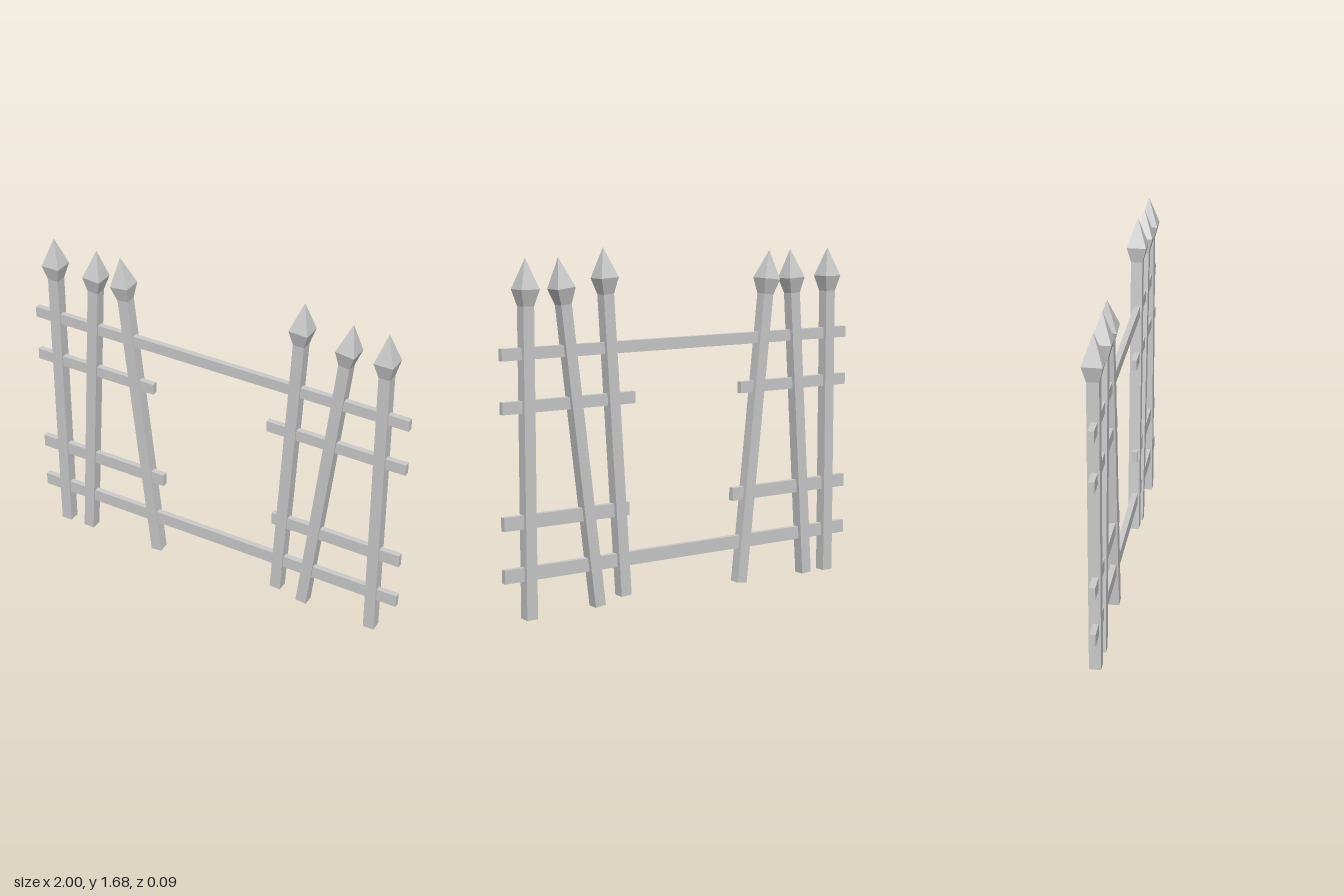
import * as THREE from 'three';

const material = new THREE.MeshStandardMaterial({ color: 0xcccccc, flatShading: true });

const LENGTH = 1.645; // foot to tip of a picket
const SHAFT = 1.43;   // height of the square shaft
const WIDEST = 1.505; // height of the spearhead's widest ring

// Four-sided frustum with half widths at bottom and top, between heights y0 and y1
function squareFrustum(bottom, top, y0, y1) {
  const g = new THREE.CylinderGeometry(top * Math.SQRT2, bottom * Math.SQRT2, y1 - y0, 4, 1, true);
  g.rotateY(Math.PI / 4);
  g.translate(0, (y0 + y1) / 2, 0);
  return g;
}

// Picket standing on its foot, leaning towards its tip
function makePicket(footX, footY, tipX) {
  const picket = new THREE.Group();
  picket.name = 'picket';
  const shaftGeometry = new THREE.BoxGeometry(0.056, SHAFT, 0.056);
  shaftGeometry.translate(0, SHAFT / 2, 0);
  const parts = {
    picketShaft: shaftGeometry,
    spearheadBase: squareFrustum(0.028, 0.047, SHAFT, WIDEST),
    spearheadPoint: squareFrustum(0.047, 0, WIDEST, LENGTH),
  };
  for (const [name, geometry] of Object.entries(parts)) {
    const mesh = new THREE.Mesh(geometry, material);
    mesh.name = name;
    picket.add(mesh);
  }
  picket.position.set(footX, footY, 0);
  picket.rotation.z = -Math.asin((tipX - footX) / LENGTH);
  return picket;
}

// Horizontal rail from x0 to x1
function makeRail(name, x0, x1, y, height) {
  const rail = new THREE.Mesh(new THREE.BoxGeometry(x1 - x0, height, 0.028), material);
  rail.name = name;
  rail.position.set((x0 + x1) / 2, y, 0.005);
  return rail;
}

export function createModel() {
  const fence = new THREE.Group();
  fence.name = 'brokenFence';

  // Pickets: foot x, foot y, tip x
  const pickets = [
    [-0.882, 0, -0.882],
    [-0.744, 0.002, -0.642],
    [-0.332, 0.008, -0.511],
    [0.355, 0.04, 0.458],
    [0.5, 0.01, 0.699],
    [0.87, 0, 0.87],
  ];
  for (const p of pickets) fence.add(makePicket(...p));

  // Full rails and the stubs of the two broken rails
  fence.add(
    makeRail('topRail', -1, 1, 1.218, 0.055),
    makeRail('bottomRail', -1, 1, 0.212, 0.064),
    makeRail('upperRailRight', -1, -0.333, 0.978, 0.056),
    makeRail('upperRailLeft', 0.287, 1, 0.978, 0.056),
    makeRail('lowerRailRight', -1, -0.285, 0.453, 0.064),
    makeRail('lowerRailLeft', 0.325, 1, 0.453, 0.064),
  );
  return fence;
}
